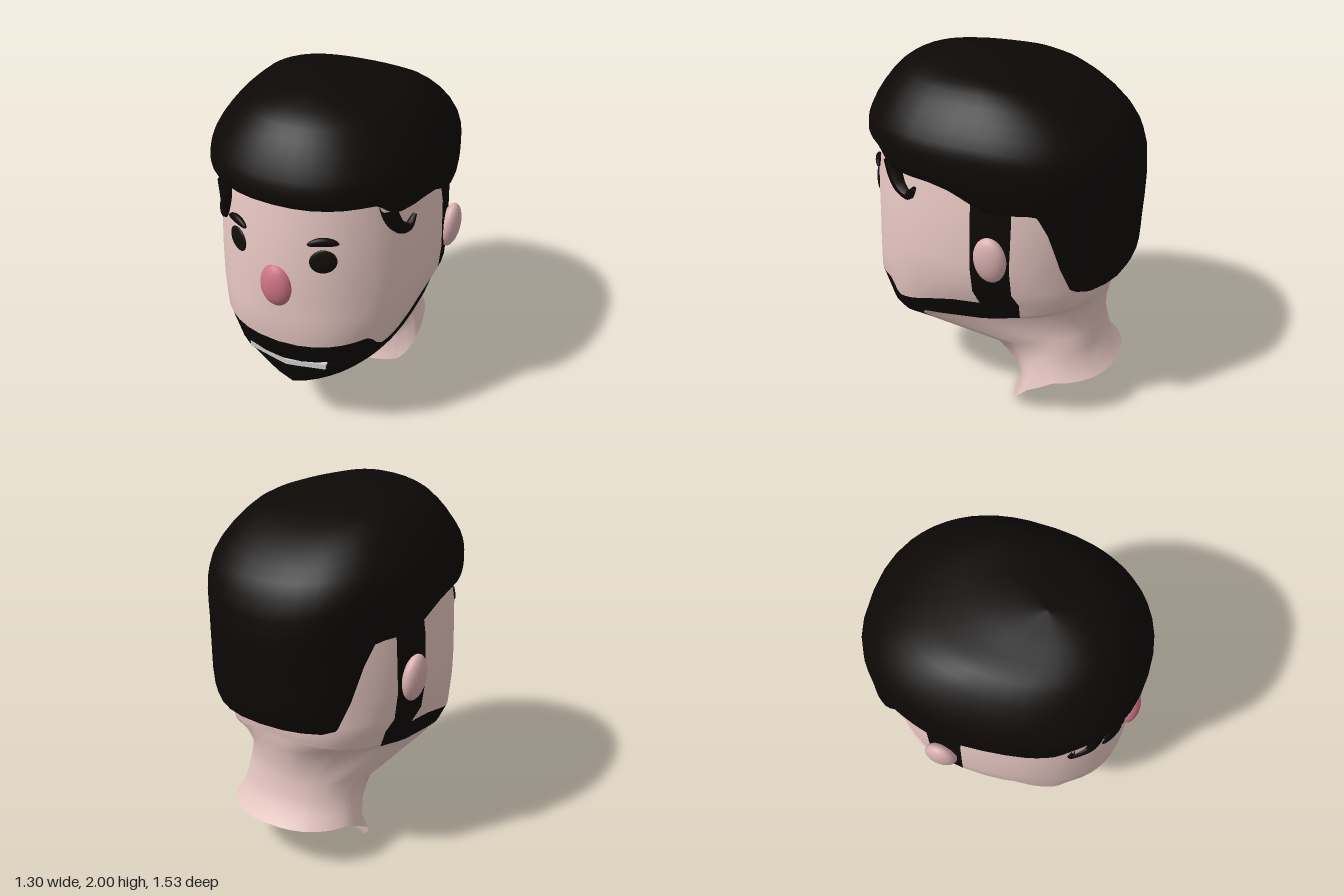
import * as THREE from 'three';

const { lerp, smoothstep, degToRad } = THREE.MathUtils;
const mat = (color) => new THREE.MeshStandardMaterial({ color, side: THREE.DoubleSide });
const skinMat = mat(0xe6c6c1), earMat = mat(0xdab0b0), noseMat = mat(0xcd7384);
const hairMat = mat(0x0c0806), eyeMat = mat(0x120e0b), teethMat = mat(0xf0f0f0);

// Columns around the head in degrees: 0 = front, 90 = side, 180 = back
const COLS = [0, 25, 48, 58, 70, 95, 113, 130, 150, 180];
const SUB = 3;
const HALF = (COLS.length - 1) * SUB;

// Ring heights as functions of the angle
const level = (y) => () => y;
const cap = (front, side, back) => (deg) => {
  const c = Math.cos(degToRad(deg));
  return lerp(side, c > 0 ? front : back, c * c);
};
const slope = (front, cheek, side, back) => (deg) =>
  deg < 50 ? lerp(front, cheek, deg / 50)
    : deg < 108 ? lerp(cheek, side, (deg - 50) / 58)
      : lerp(side, back, (deg - 108) / 72);
// Hair steps down at the temple, the sideburn and the nape
const hairline = (deg) => 1.52 - 0.08 * smoothstep(deg, 46, 60)
  - 0.11 * smoothstep(deg, 80, 105) - 0.48 * smoothstep(deg, 122, 146);
// The moustache corner rises, then drops to the thin jaw strip
const beardTop = (deg) =>
  slope(0.7, 0.73, 0.79, 0.85)(deg) - 0.08 * smoothstep(deg, 48, 58) * (1 - smoothstep(deg, 58, 95));

// A ring: heights, half width, front z, back z, middle z, roundness, mouth dent
const ring = (y, hx, zf, zb, zc = 0, e = 0.95, dent = 0) => ({ y, hx, zf, zb, zc, e, dent });
const between = (a, b, t, dent) => ring((deg) => lerp(a.y(deg), b.y(deg), t),
  lerp(a.hx, b.hx, t), lerp(a.zf, b.zf, t), lerp(a.zb, b.zb, t), 0, a.e, dent);

function ringPoint(r, j) {
  const k = Math.abs(j), c = Math.min(Math.floor(k / SUB), COLS.length - 2);
  const deg = lerp(COLS[c], COLS[c + 1], k / SUB - c);
  const cos = Math.cos(degToRad(deg));
  const across = Math.pow(Math.max(Math.sin(degToRad(deg)), 0), r.e);
  const along = Math.pow(Math.abs(cos), r.e);
  const z = lerp(r.zc, cos > 0 ? r.zf : r.zb, along);
  return new THREE.Vector3(Math.sign(j) * r.hx * across, r.y(deg), z - (deg < 22 ? r.dent : 0));
}

function named(mesh, name) {
  mesh.name = name;
  return mesh;
}

// Lofts rings from top to bottom; pick(ring, column) sorts the cells into layers
function loft(rings, rowSub, layers, pick) {
  const n = HALF * 2, rows = (rings.length - 1) * rowSub;
  const pos = new Float32Array((rows + 1) * n * 3);
  for (let q = 0; q < n; q++) {
    const curve = new THREE.CatmullRomCurve3(rings.map((r) => ringPoint(r, q - HALF)));
    for (let i = 0; i <= rows; i++) curve.getPoint(i / rows).toArray(pos, (i * n + q) * 3);
  }
  const all = [], parts = layers.map(() => []);
  for (let i = 0; i < rows; i++) for (let q = 0; q < n; q++) {
    const a = i * n + q, b = i * n + (q + 1) % n, c = a + n, d = b + n;
    const col = Math.floor(Math.abs(q + 0.5 - HALF) / SUB);
    all.push(a, c, b, b, c, d);
    parts[pick(Math.floor(i / rowSub), col)].push(a, c, b, b, c, d);
  }
  const base = new THREE.BufferGeometry();
  base.setAttribute('position', new THREE.BufferAttribute(pos, 3));
  base.setIndex(all);
  base.computeVertexNormals();
  return layers.map(([name, material], k) =>
    named(new THREE.Mesh(base.clone().setIndex(parts[k]), material), name));
}

// Moves every vertex of a geometry by a rule
function reshape(geometry, rule) {
  const p = geometry.attributes.position, v = new THREE.Vector3();
  for (let i = 0; i < p.count; i++) {
    rule(v.fromBufferAttribute(p, i), i);
    p.setXYZ(i, v.x, v.y, v.z);
  }
  geometry.computeVertexNormals();
  return geometry;
}

const ball = new THREE.SphereGeometry(1, 24, 16);
const bentBall = reshape(ball.clone(), (v) => { v.y -= 0.5 * v.x * v.x; });

function ellipsoid(name, geometry, material, size, position) {
  const m = named(new THREE.Mesh(geometry, material), name);
  m.scale.set(...size);
  m.position.set(...position);
  return m;
}

// Depth and turn of the face surface at a given x
const faceZ = (x) => 0.715 * Math.sqrt(1 - (x / 0.597) ** 2);
const faceTurn = (x) => Math.atan2(x / 0.356, faceZ(x) / 0.511);

// Curved lock of hair, thinning toward its tip
function lock(name, radius, pts) {
  const curve = new THREE.CatmullRomCurve3(
    pts.map(([x, y]) => new THREE.Vector3(x, y, faceZ(x))));
  const steps = 32, sides = 8;
  const g = reshape(new THREE.TubeGeometry(curve, steps, radius, sides), (v, i) => {
    const t = Math.floor(i / (sides + 1)) / steps;
    v.lerp(curve.getPointAt(t), t * t * 0.75);
  });
  return named(new THREE.Mesh(g, hairMat), name);
}

export function createModel() {
  const model = new THREE.Group();
  model.name = 'head';

  // Face, jaw and open neck in one surface, with the beard as its own layer
  const upperBeard = ring(beardTop, 0.535, 0.71, -0.64, 0, 0.8);
  const jaw = ring(slope(0.485, 0.55, 0.69, 0.77), 0.5, 0.645, -0.625, 0, 0.8);
  const rings = [
    ring(level(1.65), 0.53, 0.65, -0.6),
    ring(level(1.3), 0.585, 0.71, -0.67),
    ring(level(1.02), 0.595, 0.715, -0.65),
    ring(level(0.87), 0.58, 0.715, -0.64, 0, 0.9),
    upperBeard,
    between(upperBeard, jaw, 0.66, 0),
    between(upperBeard, jaw, 0.83, 0.07),
    jaw,
    // Chin and its underside
    ring(slope(0.32, 0.5, 0.67, 0.7), 0.47, 0.57, -0.62, 0.14, 0.9),
    ring(slope(0.36, 0.48, 0.61, 0.6), 0.44, 0.3, -0.6, 0.26, 0.9),
    // Neck down to the slanted rim
    ring(slope(0.34, 0.36, 0.48, 0.5), 0.335, 0.03, -0.6, -0.28),
    ring(slope(0.24, 0.27, 0.38, 0.42), 0.345, -0.12, -0.615, -0.32),
    ring(slope(0.13, 0.17, 0.31, 0.34), 0.365, -0.18, -0.635, -0.33),
    ring(slope(0, 0.025, 0.25, 0.26), 0.39, -0.13, -0.7, -0.32, 0.9),
  ];
  const isBeard = (r, c) =>
    (r < 4 && c === 5) ||              // sideburn
    (r >= 4 && r < 7 && c <= 5) ||     // lips and jaw strip
    (r >= 7 && r < 9 && c <= 3);       // chin
  model.add(...loft(rings, 1, [['skin', skinMat], ['beard', hairMat]],
    (r, c) => (isBeard(r, c) ? 1 : 0)));

  // Hair cap, ending in a tucked-under edge
  const hairRings = [
    ring(level(2), 0, 0.19, 0.19, 0.19),
    ring(cap(1.97, 1.955, 1.945), 0.22, 0.4, -0.12, 0.15, 0.9),
    ring(cap(1.89, 1.89, 1.81), 0.42, 0.57, -0.5, 0, 0.9),
    ring(cap(1.68, 1.68, 1.58), 0.59, 0.715, -0.735, 0, 0.88),
    ring(cap(1.58, 1.56, 1.12), 0.612, 0.735, -0.76, 0, 0.88),
    ring((deg) => hairline(deg) + 0.025, 0.597, 0.725, -0.72, 0, 0.88),
    ring(hairline, 0.57, 0.67, -0.62),
  ];
  model.add(...loft(hairRings, 4, [['hair', hairMat]], () => 0));

  // Loose locks over the temples
  model.add(
    lock('foreheadLock', 0.035,
      [[-0.36, 1.52], [-0.345, 1.42], [-0.37, 1.31], [-0.44, 1.29], [-0.43, 1.345]]),
    lock('templeLock', 0.045,
      [[0.48, 1.5], [0.495, 1.42], [0.515, 1.36], [0.54, 1.335], [0.557, 1.39]]));

  // Ears, eyes and brows
  for (const [s, side] of [[1, 'left'], [-1, 'right']]) {
    const x = s * 0.242, z = faceZ(x);
    const ear = ellipsoid(side + 'Ear', ball, earMat, [0.052, 0.132, 0.09], [s * 0.595, 1.09, -0.18]);
    const eye = ellipsoid(side + 'Eye', ball, eyeMat, [0.07, 0.068, 0.015], [x, 1.24, z]);
    const brow = ellipsoid(side + 'Brow', bentBall, hairMat, [0.08, 0.024, 0.018], [x, 1.355, z]);
    ear.rotation.z = s * -0.1;
    eye.rotation.y = brow.rotation.y = faceTurn(x);
    model.add(ear, eye, brow);
  }
  model.add(ellipsoid('nose', ball, noseMat, [0.09, 0.125, 0.06], [0, 1.06, 0.7]));

  // Teeth, bent to follow the lips
  const teeth = reshape(new THREE.BoxGeometry(0.46, 0.032, 0.03, 2, 1, 1), (v) => {
    v.y += 0.15 * Math.abs(v.x);
    v.z -= 0.35 * v.x * v.x;
  });
  const teethMesh = named(new THREE.Mesh(teeth, teethMat), 'teeth');
  teethMesh.position.set(0, 0.504, 0.622);
  model.add(teethMesh);

  return model;
}
